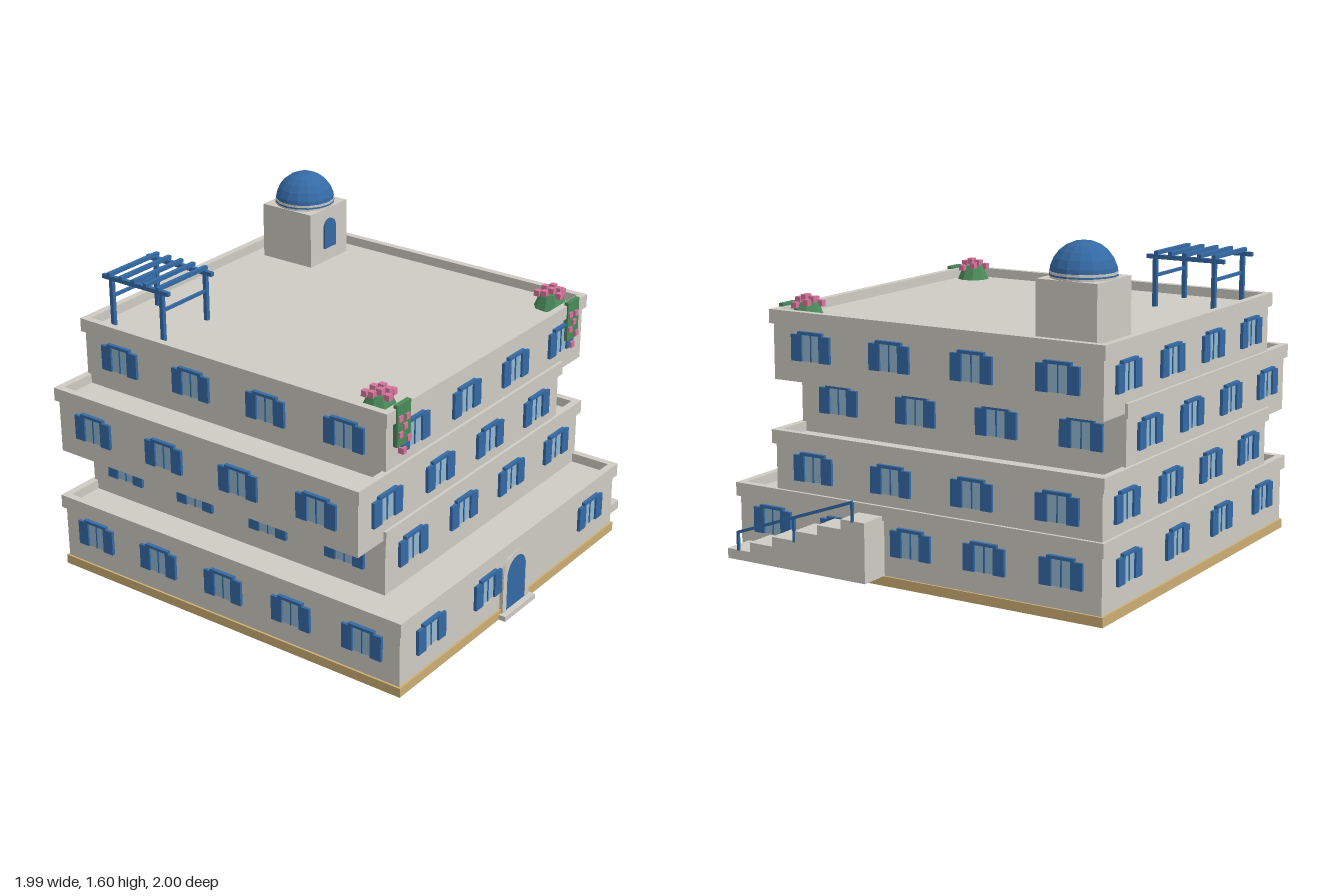
import * as THREE from 'three';

const mat = (name, color) => Object.assign(new THREE.MeshStandardMaterial({ color }), { name });

export function createModel() {
  const plaster = mat('plaster', 0xcecbc3);
  const sand = mat('sand', 0xccae74);
  const blue = mat('blue paint', 0x346aa5);
  const glass = mat('glass', 0x92b6cf);
  const leaf = mat('leaf green', 0x4b8a5a);
  const pink = mat('blossom pink', 0xd6759c);
  const model = new THREE.Group();
  model.name = 'terracedHouse';

  const add = (parent, name, geo, material, x = 0, y = 0, z = 0) => {
    const m = new THREE.Mesh(geo, material);
    m.name = name;
    m.position.set(x, y, z);
    parent.add(m);
    return m;
  };
  const group = (name, parent = model) => {
    const g = new THREE.Group();
    g.name = name;
    parent.add(g);
    return g;
  };
  // box given by its minimum and maximum corners
  const span = (parent, name, material, x0, x1, y0, y1, z0, z1) =>
    add(parent, name, new THREE.BoxGeometry(x1 - x0, y1 - y0, z1 - z0), material,
      (x0 + x1) / 2, (y0 + y1) / 2, (z0 + z1) / 2);
  const flat = (geo) => {
    const g = geo.toNonIndexed();
    g.computeVertexNormals();
    return g;
  };
  // upright shape with a round top, standing on y = 0
  const archPath = (path, r, h) => {
    path.moveTo(-r, 0);
    path.lineTo(r, 0);
    path.lineTo(r, h - r);
    path.absarc(0, h - r, r, 0, Math.PI, false);
    path.lineTo(-r, 0);
    return path;
  };
  const extrude = (shape, depth) =>
    new THREE.ExtrudeGeometry(shape, { depth, bevelEnabled: false, curveSegments: 10 });

  // parapet ring around a floor plan
  const parapet = (parent, x0, x1, z0, z1, top) => {
    const rect = (path, d) => {
      path.moveTo(x0 - d, -z1 - d);
      path.lineTo(x1 + d, -z1 - d);
      path.lineTo(x1 + d, -z0 + d);
      path.lineTo(x0 - d, -z0 + d);
      path.closePath();
      return path;
    };
    const shape = rect(new THREE.Shape(), 0.015);
    shape.holes.push(rect(new THREE.Path(), -0.02));
    const geo = extrude(shape, 0.065);
    geo.rotateX(-Math.PI / 2);
    add(parent, 'parapet', geo, plaster, 0, top - 0.02, 0);
  };

  // shuttered window, facing +z, origin at the wall on floor level
  const paneGeo = new THREE.BoxGeometry(0.1, 0.125, 0.006);
  const shutterGeo = new THREE.BoxGeometry(0.058, 0.122, 0.015);
  const lintelGeo = new THREE.BoxGeometry(0.135, 0.014, 0.02);
  const mullionGeo = new THREE.BoxGeometry(0.006, 0.125, 0.01);
  const addWindow = (parent, x, y, z, angle) => {
    const w = group('window', parent);
    add(w, 'pane', paneGeo, glass, 0, 0.163, 0.003);
    add(w, 'mullion', mullionGeo, blue, 0, 0.163, 0.005);
    for (const s of [-1, 1]) add(w, 'shutter', shutterGeo, blue, s * 0.077, 0.161, 0.0085);
    add(w, 'lintel', lintelGeo, blue, 0, 0.23, 0.009);
    w.position.set(x, y, z);
    w.rotation.y = angle;
  };

  // base and the four shifted floors: x range, front z, windows per side wall
  span(model, 'base', sand, -0.99, 0.845, 0, 0.045, -0.99, 0.965);
  const back = -0.98;
  const floors = [
    [-0.98, 0.835, 0.955, 5],
    [-0.78, 0.835, 0.735, 4],
    [-0.98, 0.635, 0.735, 4],
    [-0.78, 0.835, 0.735, 4],
  ];
  floors.forEach(([x0, x1, front, sideCount], k) => {
    const f = group('floor');
    const y = 0.045 + 0.28 * k;
    span(f, 'walls', plaster, x0, x1, y, y + 0.28, back, front);
    parapet(f, x0, x1, back, front, y + 0.28);
    for (let i = 0; i < 4; i++) {
      const x = x0 + (x1 - x0) * (i + 0.5) / 4;
      if (k > 0 || i !== 2) addWindow(f, x, y, front, 0);
      addWindow(f, x, y, back, Math.PI);
    }
    for (let i = 0; i < sideCount; i++) {
      const z = back + (front - back) * (i + 0.5) / sideCount;
      addWindow(f, x1, y, z, Math.PI / 2);
      addWindow(f, x0, y, z, -Math.PI / 2);
    }
  });

  // entrance with arched surround and doorstep
  const entrance = group('entrance');
  entrance.position.x = -0.072;
  const surround = archPath(new THREE.Shape(), 0.112, 0.285);
  surround.holes.push(archPath(new THREE.Path(), 0.08, 0.255));
  add(entrance, 'doorSurround', extrude(surround, 0.022), plaster, 0, 0.025, 0.951);
  add(entrance, 'door', extrude(archPath(new THREE.Shape(), 0.08, 0.257), 0.019), blue, 0, 0.026, 0.951);
  span(entrance, 'doorstep', plaster, -0.13, 0.13, 0, 0.025, 0.95, 1.0);

  // outside stairs along the right-hand wall
  const stairs = group('stairs');
  for (let i = 0; i < 6; i++) {
    const z = 0.915 - i * 0.13;
    span(stairs, 'step', plaster, 0.835, 0.987, 0.045, 0.092 + i * 0.0466, z - 0.13, z);
  }
  for (const [z, y0, y1] of [[0.853, 0.09, 0.178], [0.527, 0.18, 0.295], [0.2, 0.32, 0.412]])
    span(stairs, 'railPost', blue, 0.979, 0.991, y0, y1, z - 0.006, z + 0.006);
  const rail = add(stairs, 'handrail', new THREE.BoxGeometry(0.012, 0.014, 0.7), blue, 0.985, 0.294, 0.527);
  rail.rotation.x = Math.atan2(0.234, 0.653);

  // roof pergola
  const pergola = group('pergola');
  for (const x of [-0.685, -0.38]) {
    for (const z of [-0.885, -0.58])
      span(pergola, 'post', blue, x - 0.01, x + 0.01, 1.165, 1.4, z - 0.01, z + 0.01);
    span(pergola, 'beam', blue, x - 0.01, x + 0.01, 1.392, 1.412, -0.937, -0.537);
  }
  for (let i = 0; i < 5; i++) {
    const z = -0.888 + i * 0.0745;
    span(pergola, 'slat', blue, -0.705, -0.362, 1.412, 1.43, z - 0.01, z + 0.01);
  }
  for (const z of [-0.885, -0.58])
    span(pergola, 'crossRail', blue, -0.685, -0.38, 1.305, 1.32, z - 0.006, z + 0.006);

  // domed roof tower
  const tower = group('tower');
  tower.position.set(0.585, 0, -0.74);
  span(tower, 'towerWalls', plaster, -0.149, 0.149, 1.165, 1.44, -0.149, 0.149);
  add(tower, 'drum', flat(new THREE.CylinderGeometry(0.148, 0.148, 0.03, 16)), plaster, 0, 1.453, 0);
  add(tower, 'dome', flat(new THREE.SphereGeometry(0.149, 16, 6, 0, Math.PI * 2, 0, Math.PI / 2)),
    blue, 0, 1.449, 0);
  add(tower, 'towerDoor', extrude(archPath(new THREE.Shape(), 0.045, 0.15), 0.012), blue, 0, 1.235, 0.148);

  // flowering bushes with trailing vines at the front corners of the roof
  const bushGeo = flat(new THREE.CylinderGeometry(0.05, 0.08, 0.07, 9));
  const blossomGeo = new THREE.BoxGeometry(0.028, 0.028, 0.028);
  const vineBlossoms = [[-0.03, 1.16], [0.022, 1.155], [-0.028, 1.085], [0.032, 1.05], [0, 1.0], [0.005, 1.115]];
  for (const x of [-0.68, 0.715]) {
    const plant = group('floweringPlant');
    plant.position.x = x;
    add(plant, 'bush', bushGeo, leaf, 0, 1.2, 0.63);
    span(plant, 'vine', leaf, -0.05, 0.05, 1.03, 1.225, 0.735, 0.757);
    for (const [bx, by] of vineBlossoms) add(plant, 'blossom', blossomGeo, pink, bx, by, 0.75);
    for (let i = 0; i < 9; i++) {
      const a = i * 2.4;
      const r = 0.02 + 0.006 * i;
      add(plant, 'blossom', blossomGeo, pink,
        Math.cos(a) * r, 1.258 - 0.004 * i, 0.63 + Math.sin(a) * r);
    }
  }
  return model;
}
